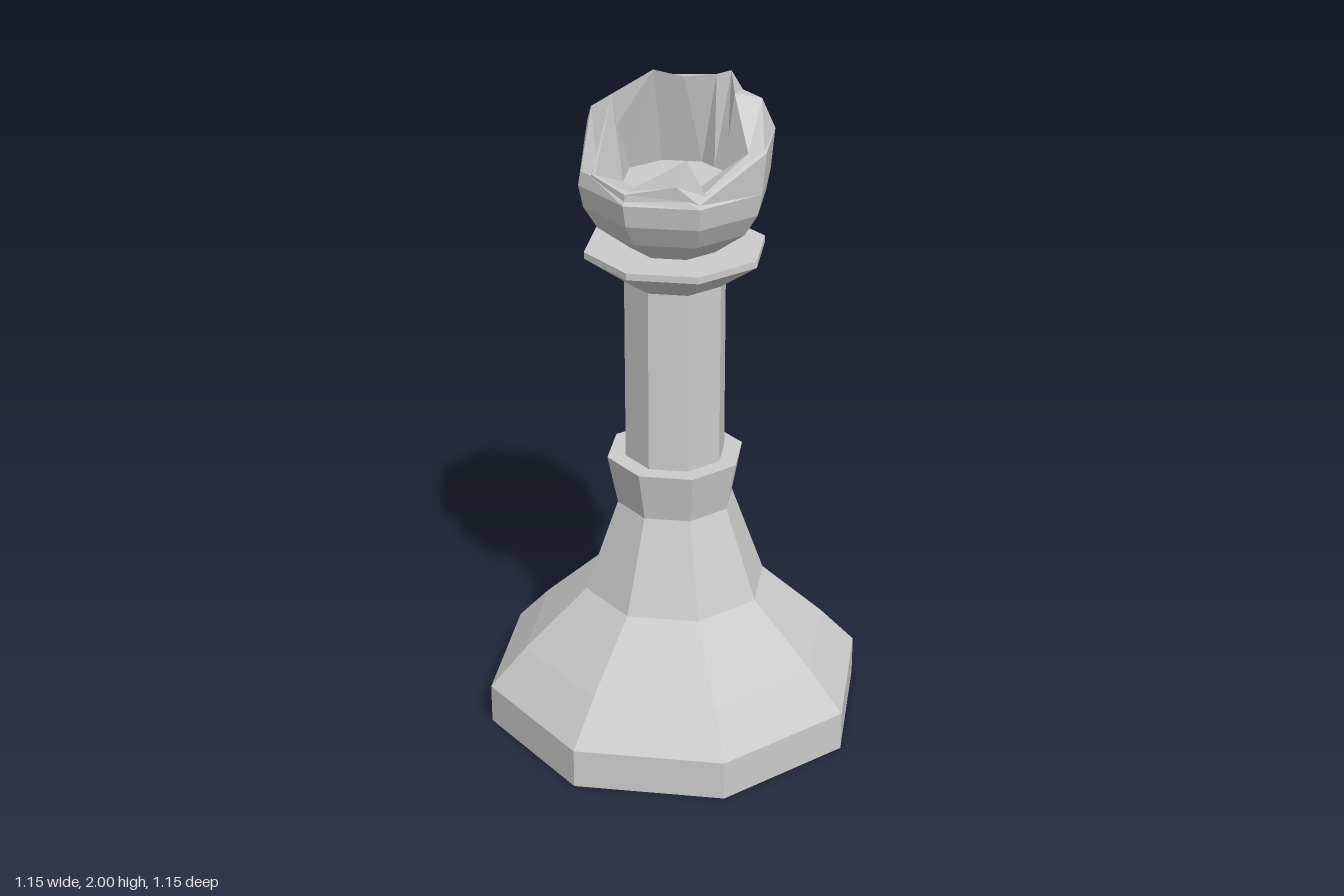
import * as THREE from 'three';

const SIDES = 8;

export function createModel() {
  const group = new THREE.Group();
  const grey = new THREE.MeshStandardMaterial({ color: 0xcccccc, flatShading: true });
  const shell = new THREE.MeshStandardMaterial({ color: 0xcccccc, flatShading: true, side: THREE.DoubleSide });

  // Octagonal turned part from a [radius, height] profile
  function turned(name, profile) {
    const points = profile.map(([r, y]) => new THREE.Vector2(r, y));
    const mesh = new THREE.Mesh(new THREE.LatheGeometry(points, SIDES), grey);
    mesh.name = name;
    group.add(mesh);
  }

  turned('base', [[0, 0], [0.575, 0], [0.575, 0.12], [0.465, 0.24], [0.275, 0.42],
    [0.175, 0.7], [0.205, 0.85], [0, 0.85]]);
  turned('column', [[0.15, 0.85], [0.15, 1.4]]);
  turned('collar', [[0.15, 1.4], [0.265, 1.48], [0.265, 1.5], [0, 1.5]]);

  // Broken globe: columns run anticlockwise from +x,
  // each with direction [x, z], shoulder height, crown point and broken rim point
  const d = Math.SQRT1_2;
  const columns = [
    [[1, 0], 1.82, [0.25, 1.91, 0], [0.17, 1.93, 0]],
    [[0.854, -0.354], 1.82, [0.22, 1.91, -0.09], [0.18, 1.975, -0.07]],
    [[d, -d], 1.82, [0.18, 1.92, -0.18], [0.13, 1.975, -0.045]],
    [[0, -1], 1.82, [0, 1.92, -0.262], [0.04, 1.97, -0.06]],
    [[-d, -d], 1.82, [-0.195, 1.86, -0.2], [-0.05, 2, -0.05]],
    [[-1, 0], 1.74, [-0.225, 1.78, 0], [-0.18, 1.955, 0]],
    [[-0.93, 0.17], 1.74, [-0.25, 1.745, 0.05], [-0.24, 1.745, 0.055]],
    [[-d, d], 1.71, [-0.19, 1.73, 0.19], [-0.18, 1.735, 0.18]],
    [[-0.12, 0.95], 1.72, [-0.06, 1.76, 0.248], [-0.03, 1.83, 0.24]],
    [[0, 1], 1.71, [0.02, 1.73, 0.256], [0.02, 1.735, 0.245]],
    [[d, d], 1.82, [0.2, 1.825, 0.2], [0.16, 1.815, 0.18]],
  ];
  const ring = (r, y) => columns.map(([[x, z]]) => [x * r, y, z * r]);
  const rings = [
    ring(0.13, 1.5), ring(0.225, 1.57), ring(0.265, 1.635), ring(0.278, 1.7),
    columns.map(([[x, z], y]) => {
      const r = y > 1.8 ? 0.29 : 0.27;
      return [x * r, y, z * r];
    }),
    columns.map((c) => c[2]),
    columns.map((c) => c[3]),
    ring(0.15, 1.7), // hollow floor
    ring(0, 1.7),
  ];
  const n = columns.length;
  const index = [];
  for (let i = 0; i < rings.length - 1; i++) {
    for (let j = 0; j < n; j++) {
      const a = i * n + j, b = i * n + (j + 1) % n;
      index.push(a, b, a + n, b, b + n, a + n);
    }
  }
  const geometry = new THREE.BufferGeometry();
  geometry.setAttribute('position', new THREE.Float32BufferAttribute(rings.flat(2), 3));
  geometry.setIndex(index);
  geometry.computeVertexNormals();
  const globe = new THREE.Mesh(geometry, shell);
  globe.name = 'brokenGlobe';
  group.add(globe);

  return group;
}
